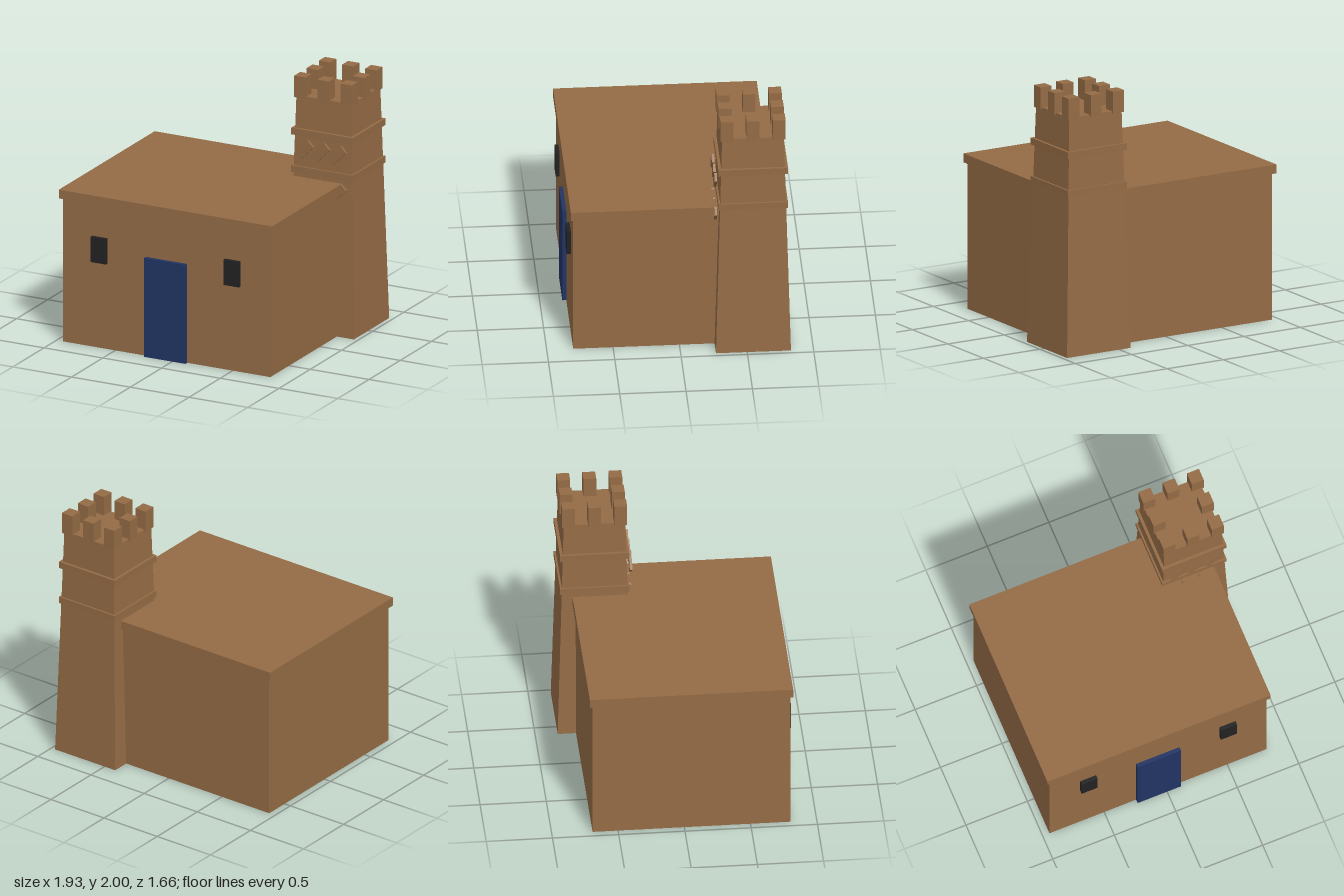
import * as THREE from 'three';

export function createModel() {
  const model = new THREE.Group();
  model.name = 'mudBrickHouse';

  const material = (name, color) => {
    const m = new THREE.MeshStandardMaterial({ color });
    m.name = name;
    return m;
  };
  const mud = material('mud brick', 0x946b45);
  const blue = material('door blue', 0x213463);
  const dark = material('window dark', 0x222222);

  const add = (parent, name, geometry, mat, x, y, z) => {
    const mesh = new THREE.Mesh(geometry, mat);
    mesh.name = name;
    mesh.position.set(x, y, z);
    parent.add(mesh);
    return mesh;
  };
  // Box given by its lower and upper corners
  const box = (parent, name, mat, [x0, y0, z0], [x1, y1, z1]) =>
    add(parent, name, new THREE.BoxGeometry(x1 - x0, y1 - y0, z1 - z0), mat,
      (x0 + x1) / 2, (y0 + y1) / 2, (z0 + z1) / 2);

  // House with overhanging flat roof
  const house = new THREE.Group();
  house.name = 'house';
  model.add(house);
  box(house, 'walls', mud, [-0.945, 0, -0.692], [0.82, 1.14, 0.8]);
  box(house, 'roof', mud, [-0.97, 1.138, -0.715], [0.845, 1.207, 0.82]);
  box(house, 'door', blue, [-0.24, 0, 0.79], [0.112, 0.785, 0.83]);
  box(house, 'rightWindow', dark, [-0.695, 0.68, 0.79], [-0.565, 0.88, 0.83]);
  box(house, 'leftWindow', dark, [0.437, 0.68, 0.79], [0.568, 0.88, 0.83]);

  // Tapering square tower on the back left corner
  const tower = new THREE.Group();
  tower.name = 'tower';
  tower.position.set(0.6825, 0, -0.5475);
  model.add(tower);

  const height = 1.845, baseHalf = 0.2825, topHalf = 0.233;
  const shaft = new THREE.BoxGeometry(1, height, 1);
  const p = shaft.attributes.position;
  for (let i = 0; i < p.count; i++) {
    const half = p.getY(i) < 0 ? baseHalf : topHalf;
    p.setX(i, Math.sign(p.getX(i)) * half);
    p.setZ(i, Math.sign(p.getZ(i)) * half);
  }
  const shaftFaces = shaft.toNonIndexed();
  shaftFaces.computeVertexNormals();
  add(tower, 'shaft', shaftFaces, mud, 0, height / 2, 0);

  // Two raised bands
  for (const y of [1.265, 1.5625]) {
    add(tower, 'band', new THREE.BoxGeometry(0.524, 0.053, 0.524), mud, 0, y, 0);
  }

  // Eight merlons around the top
  const merlon = new THREE.BoxGeometry(0.097, 0.17, 0.097);
  for (const i of [-1, 0, 1]) {
    for (const j of [-1, 0, 1]) {
      if (i || j) add(tower, 'merlon', merlon, mud, i * 0.197, 1.915, j * 0.197);
    }
  }

  // Slanted ornament bricks in two rows on the front
  const brick = new THREE.BoxGeometry(0.156, 0.066, 0.02);
  for (const y of [1.137, 1.437]) {
    for (const i of [-1, 0, 1]) {
      add(tower, 'slantedBrick', brick, mud, i * 0.14, y, 0.278).rotation.z = Math.PI / 4;
    }
  }

  return model;
}
